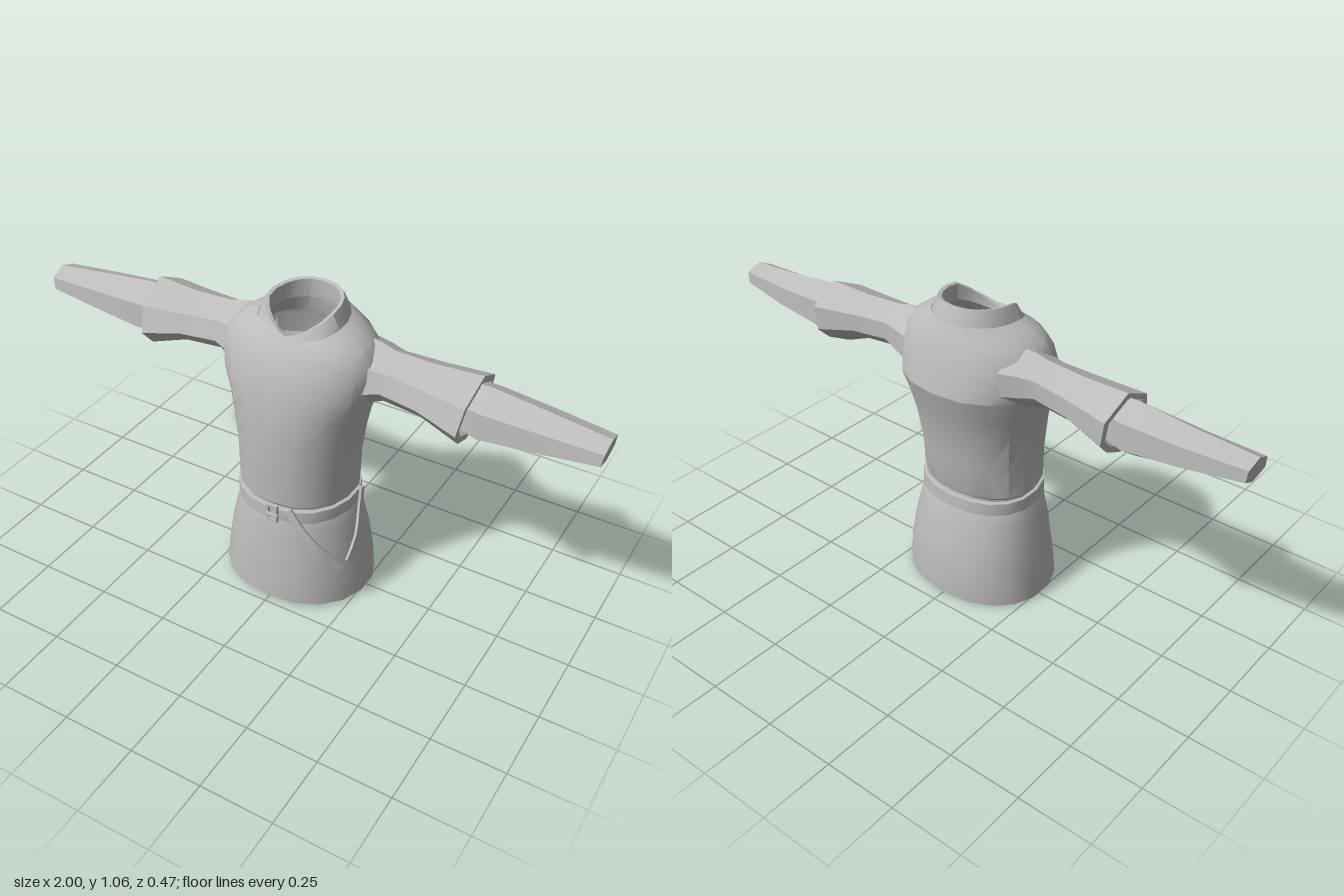
import * as THREE from 'three';
import { toCreasedNormals } from 'three/addons/utils/BufferGeometryUtils.js';

const cloth = new THREE.MeshStandardMaterial({ color: 0xbcbcbc, side: THREE.DoubleSide });
cloth.name = 'grey cloth';

// Skin a list of equal-length closed rings, with optional fan caps at either end.
function loft(rings, { capStart = false, capEnd = false, crease = 0.42 } = {}) {
  const n = rings[0].length, pos = [], idx = [];
  rings.forEach(r => r.forEach(p => pos.push(p.x, p.y, p.z)));
  for (let i = 0; i < rings.length - 1; i++) {
    for (let j = 0; j < n; j++) {
      const a = i * n + j, b = i * n + (j + 1) % n;
      idx.push(a, b, b + n, a, b + n, a + n);
    }
  }
  const cap = (i, flip) => {
    const c = new THREE.Vector3();
    rings[i].forEach(p => c.addScaledVector(p, 1 / n));
    const k = pos.length / 3;
    pos.push(c.x, c.y, c.z);
    for (let j = 0; j < n; j++) {
      const a = i * n + j, b = i * n + (j + 1) % n;
      if (flip) idx.push(b, a, k); else idx.push(a, b, k);
    }
  };
  if (capStart) cap(0, true);
  if (capEnd) cap(rings.length - 1, false);
  const g = new THREE.BufferGeometry();
  g.setAttribute('position', new THREE.Float32BufferAttribute(pos, 3));
  g.setIndex(idx);
  return toCreasedNormals(g, crease);
}

// Horizontal ring: half width, front and back depth, front/back height change, front pointedness.
function bodyRing([y, w, zf, zb, dyF = 0, dyB = 0, point = 0.9], n = 18) {
  return Array.from({ length: n }, (_, j) => {
    const a = j / n * Math.PI * 2, s = Math.sin(a), c = Math.cos(a), k = Math.abs(c);
    const x = w * Math.sign(s) * Math.abs(s) ** (c > 0 ? point : 0.9);
    const z = c > 0 ? zf * k ** 0.95 : zb * k ** 0.95;
    return new THREE.Vector3(x, y + (c > 0 ? dyF : dyB) * k ** 1.5, z);
  });
}

// Sleeve outlines as (z, y) pairs, scaled to each station along the arm.
const wideOutline = [[1, -0.25], [0.76, 0.51], [-0.16, 1], [-1, 0.51], [-1, -0.2], [-0.64, -0.6], [0.04, -1], [0.64, -0.74]];
const cuffOutline = [[1, -0.55], [0.9, 0.4], [0, 1], [-0.95, 0.55], [-1, -0.4], [-0.1, -1]];

function armRings(outline, stations, side) {
  return stations.map(([x, yc, ry, zc, rz, slant = 0]) => {
    const ring = outline.map(([u, v]) => new THREE.Vector3(side * (x + v * slant), yc + v * ry, zc + u * rz));
    return side > 0 ? ring.reverse() : ring;
  });
}

// Flat strap following a path, facing away from the body axis.
function strap(points, width, thick) {
  const curve = new THREE.CatmullRomCurve3(points.map(p => new THREE.Vector3(...p)));
  const rings = [];
  for (let i = 0; i <= 6; i++) {
    const p = curve.getPoint(i / 6), t = curve.getTangent(i / 6);
    const n = new THREE.Vector3(p.x, 0, p.z);
    n.addScaledVector(t, -n.dot(t)).normalize();
    const b = t.clone().cross(n);
    rings.push([[1, -1], [1, 1], [-1, 1], [-1, -1]].map(([u, v]) =>
      p.clone().addScaledVector(n, u * thick / 2).addScaledVector(b, v * width / 2)));
  }
  return loft(rings, { capStart: true, capEnd: true });
}

export function createModel() {
  const model = new THREE.Group();
  model.name = 'tunic';
  const add = (name, geometry, parent = model) => {
    const m = new THREE.Mesh(geometry, cloth);
    m.name = name;
    parent.add(m);
    return m;
  };

  // Skirt, from the turned-in hem up to the waist
  add('skirt', loft([
    [0.2, 0.222, 0.205, -0.175],
    [0.02, 0.247, 0.215, -0.183, 0, -0.01],
    [0.01, 0.25, 0.217, -0.185, 0.005, -0.008],
    [0.01, 0.265, 0.234, -0.203, 0.005, -0.008],
    [0.1, 0.256, 0.229, -0.204],
    [0.21, 0.238, 0.22, -0.188],
    [0.3, 0.217, 0.207, -0.165],
    [0.34, 0.204, 0.202, -0.155],
    [0.355, 0.195, 0.196, -0.148],
  ].map(r => bodyRing(r))));

  // Torso, from the waist over the shoulders
  add('torso', loft([
    [0.35, 0.194, 0.195, -0.147],
    [0.395, 0.196, 0.196, -0.143],
    [0.405, 0.206, 0.204, -0.147],
    [0.52, 0.207, 0.205, -0.16],
    [0.64, 0.22, 0.208, -0.183],
    [0.72, 0.235, 0.2, -0.205],
    [0.8, 0.262, 0.192, -0.231],
    [0.87, 0.268, 0.174, -0.214],
    [0.925, 0.257, 0.152, -0.198],
    [0.96, 0.232, 0.13, -0.186],
    [0.988, 0.192, 0.118, -0.174, -0.014],
    [1.008, 0.145, 0.112, -0.162, -0.033, 0.01],
  ].map(r => bodyRing(r))));

  // Collar with a notched front and an inner lining
  add('collar', loft([
    [1.003, 0.145, 0.11, -0.161, -0.03, 0.01],
    [1.02, 0.138, 0.108, -0.155, -0.043, 0.012, 1.1],
    [1.058, 0.122, 0.103, -0.14, -0.077, 0.008, 1.4],
    [1.055, 0.11, 0.092, -0.128, -0.078, 0.008, 1.5],
    [1.0, 0.112, 0.088, -0.125, -0.04, 0, 1.3],
    [0.94, 0.15, 0.1, -0.14, 0, 0, 1],
  ].map(r => bodyRing(r))));

  // Arms: flared short sleeve over a tapering long sleeve
  for (const [side, label] of [[1, 'left'], [-1, 'right']]) {
    const arm = new THREE.Group();
    arm.name = label + 'Arm';
    model.add(arm);
    add(label + 'UpperSleeve', loft(armRings(wideOutline, [
      [0.19, 0.85, 0.112, -0.04, 0.115],
      [0.25, 0.857, 0.102, -0.037, 0.1],
      [0.3, 0.863, 0.083, -0.036, 0.086],
      [0.43, 0.856, 0.083, -0.037, 0.1],
      [0.575, 0.833, 0.112, -0.04, 0.125, 0.015],
      [0.575, 0.833, 0.09, -0.04, 0.1, 0.013],
      [0.5, 0.84, 0.075, -0.04, 0.085],
    ], side)), arm);
    add(label + 'LowerSleeve', loft(armRings(cuffOutline, [
      [0.48, 0.845, 0.068, -0.045, 0.07],
      [0.57, 0.843, 0.08, -0.046, 0.08],
      [0.62, 0.835, 0.09, -0.046, 0.083],
      [0.8, 0.838, 0.067, -0.043, 0.073],
      [0.995, 0.845, 0.041, -0.033, 0.058, 0.005],
    ], side), { capEnd: true }), arm);
  }

  // Belt band
  add('belt', loft([
    [0.347, 0.198, 0.197, -0.148],
    [0.345, 0.21, 0.214, -0.164],
    [0.388, 0.208, 0.213, -0.162],
    [0.39, 0.197, 0.197, -0.147],
    [0.347, 0.198, 0.197, -0.148],
  ].map(r => bodyRing(r))));

  // Buckle frame and prong
  const buckle = new THREE.Group();
  buckle.name = 'buckle';
  buckle.position.set(0.015, 0.375, 0.21);
  model.add(buckle);
  const rect = (P, w, h) => {
    const p = new P();
    p.moveTo(-w, -h).lineTo(w, -h).lineTo(w, h).lineTo(-w, h).closePath();
    return p;
  };
  const frame = rect(THREE.Shape, 0.02, 0.033);
  frame.holes.push(rect(THREE.Path, 0.012, 0.024));
  add('buckleFrame', new THREE.ExtrudeGeometry(frame, { depth: 0.012, bevelEnabled: false }), buckle);
  add('bucklePin', new THREE.BoxGeometry(0.044, 0.007, 0.012), buckle).position.set(0.004, 0, 0.016);

  // Hanging belt ends
  add('frontStrap', strap([[0.07, 0.4, 0.207], [0.12, 0.325, 0.203], [0.18, 0.25, 0.182], [0.232, 0.175, 0.138]], 0.026, 0.009));
  add('sideStrap', strap([[0.212, 0.395, -0.03], [0.219, 0.32, -0.008], [0.236, 0.245, 0.037], [0.238, 0.175, 0.098]], 0.026, 0.009));

  return model;
}
